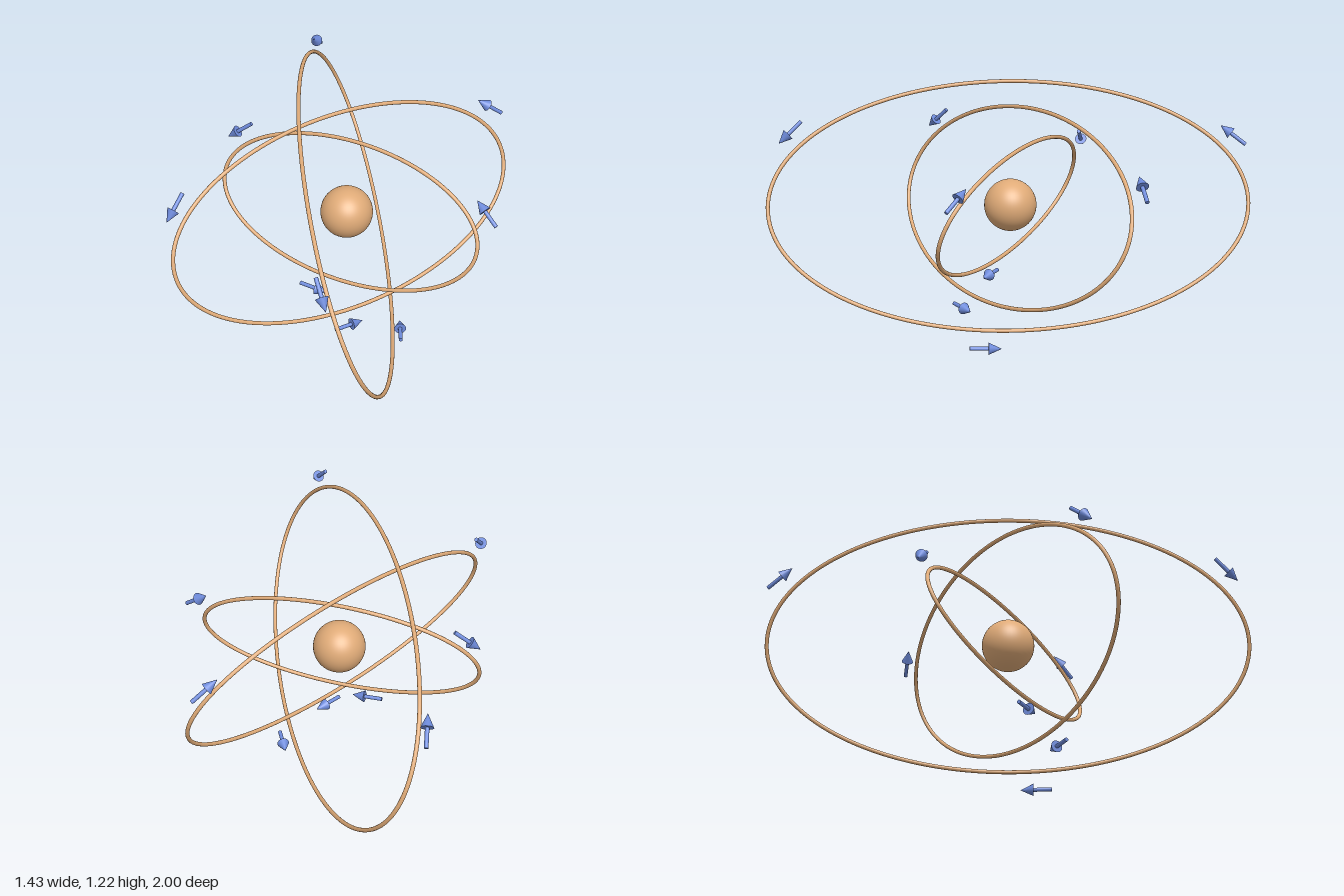
import * as THREE from 'three';

const V = (a) => new THREE.Vector3(...a);

// Planar ellipse spanned by two conjugate half-axes
class EllipseCurve3 extends THREE.Curve {
  constructor(a, b) {
    super();
    this.a = V(a);
    this.b = V(b);
  }
  getPoint(t, target = new THREE.Vector3()) {
    const w = t * Math.PI * 2;
    return target.set(0, 0, 0).addScaledVector(this.a, Math.cos(w)).addScaledVector(this.b, Math.sin(w));
  }
}

export function createModel() {
  const copper = new THREE.MeshStandardMaterial({ color: 0xe0ab78 });
  copper.name = 'copper';
  const blue = new THREE.MeshStandardMaterial({ color: 0x6e8bdb });
  blue.name = 'blue';

  const model = new THREE.Group();
  model.name = 'atom';
  const centre = [-0.028, 0.658, 0];

  const add = (parent, name, geometry, material) => {
    const mesh = new THREE.Mesh(geometry, material);
    mesh.name = name;
    parent.add(mesh);
    return mesh;
  };

  // Central ball
  add(model, 'nucleus', new THREE.SphereGeometry(0.124, 48, 32), copper).position.set(...centre);

  // Three tilted elliptical orbits
  const orbits = [
    ['flatOrbit', [0.676, 0, 0], [0, 0.315, -0.125]],
    ['largeOrbit', [0.555, 0.061, 0.989], [-0.25, 0.552, 0]],
    ['smallOrbit', [-0.43, -0.048, 0.791], [-0.204, 0.431, 0]],
  ];
  for (const [name, a, b] of orbits) {
    const tube = new THREE.TubeGeometry(new EllipseCurve3(a, b), 200, 0.0095, 12, true);
    add(model, name, tube, copper).position.set(...centre);
  }

  // Direction arrows: tail and tip of each, three per orbit
  const arrows = [
    ['flatOrbitArrow', [-0.6, 0.918, -0.095], [-0.715, 0.828, -0.063]],
    ['flatOrbitArrow', [0.712, 0.791, -0.058], [0.595, 0.878, -0.095]],
    ['flatOrbitArrow', [-0.198, 0.273, 0.156], [-0.048, 0.268, 0.156]],
    ['largeOrbitArrow', [-0.69, 0.913, -0.932], [-0.663, 1.001, -0.812]],
    ['largeOrbitArrow', [0.335, 1.042, 0.925], [0.42, 0.946, 0.996]],
    ['largeOrbitArrow', [0.297, 0.032, 0.05], [0.224, 0.028, -0.08]],
    ['smallOrbitArrow', [0.372, 0.851, -0.854], [0.284, 0.934, -0.78]],
    ['smallOrbitArrow', [-0.526, 0.979, 0.613], [-0.543, 0.886, 0.722]],
    ['smallOrbitArrow', [0.054, 0.156, 0.262], [0.129, 0.151, 0.135]],
  ];
  const headLength = 0.062;
  const shaftLength = 0.15 - headLength;
  const shaft = new THREE.CylinderGeometry(0.0095, 0.0095, shaftLength, 16).translate(0, shaftLength / 2, 0);
  const head = new THREE.ConeGeometry(0.029, headLength, 24).translate(0, shaftLength + headLength / 2, 0);
  for (const [name, tail, tip] of arrows) {
    const arrow = new THREE.Group();
    arrow.name = name;
    add(arrow, 'arrowShaft', shaft, blue);
    add(arrow, 'arrowHead', head, blue);
    arrow.position.set(...tail);
    arrow.quaternion.setFromUnitVectors(new THREE.Vector3(0, 1, 0), V(tip).sub(V(tail)).normalize());
    model.add(arrow);
  }
  return model;
}
